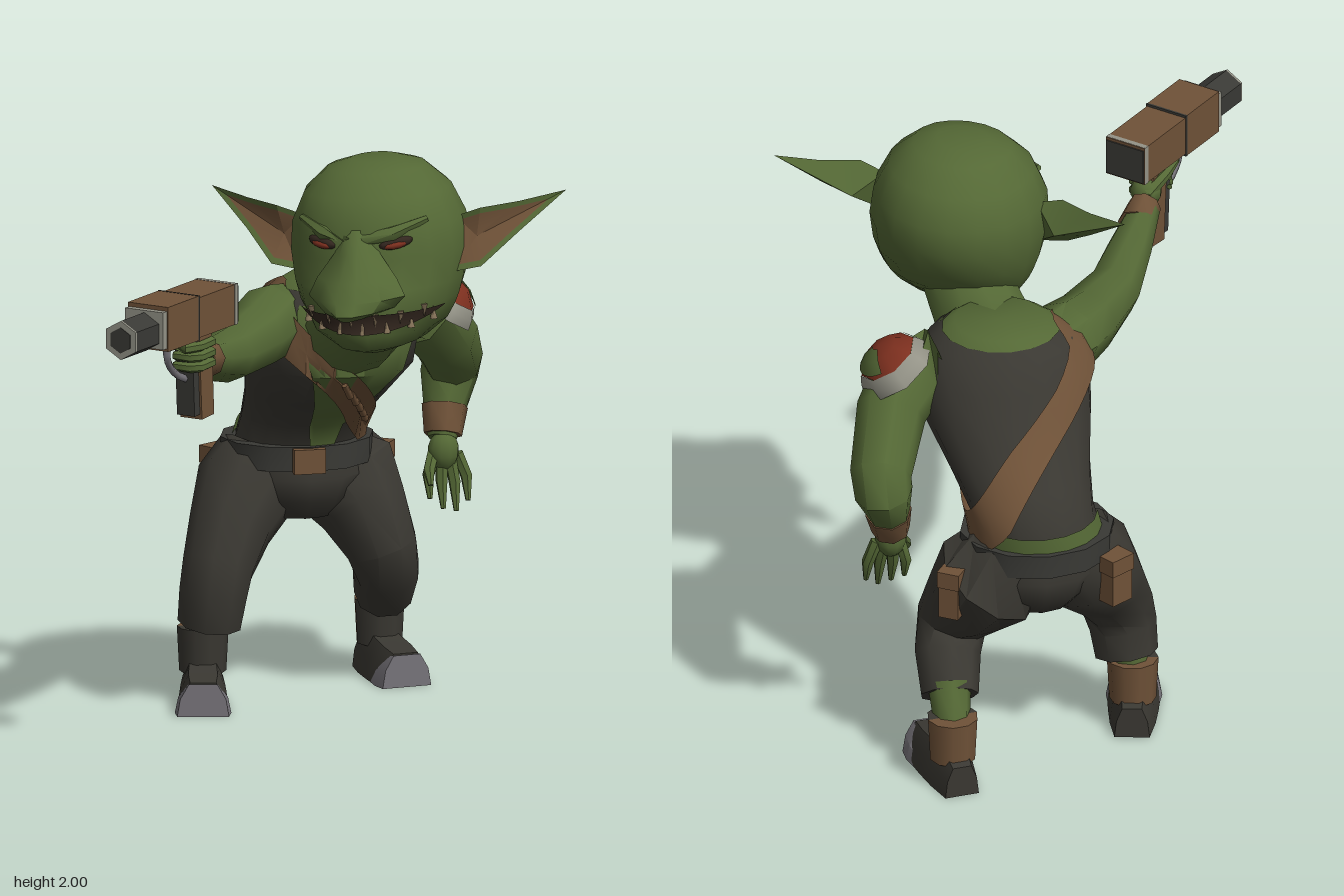
import * as THREE from 'three';
import { toCreasedNormals } from 'three/addons/utils/BufferGeometryUtils.js';

const mat = (name, color, side = THREE.FrontSide) => {
  const m = new THREE.MeshStandardMaterial({ color, side });
  m.name = name;
  return m;
};
const V = (x, y, z) => new THREE.Vector3(x, y, z);

export function createModel() {
  const skin = mat('green skin', 0x546835, THREE.DoubleSide);
  const cloth = mat('dark cloth', 0x3a3832);
  const leather = mat('brown leather', 0x6f5238, THREE.DoubleSide);
  const metal = mat('pale metal', 0x949387);
  const gunmetal = mat('gunmetal', 0x393935);
  const red = mat('red', 0x7e301f);
  const toeCap = mat('toe cap grey', 0x77747a);
  const dark = mat('mouth dark', 0x33271f, THREE.DoubleSide);
  const bone = mat('bone', 0x8a775c);

  const model = new THREE.Group();
  const add = (name, geo, material, parent = model) => {
    const mesh = new THREE.Mesh(geo, material);
    mesh.name = name;
    parent.add(mesh);
    return mesh;
  };
  const group = (name, parent = model) => {
    const g = new THREE.Group();
    g.name = name;
    parent.add(g);
    return g;
  };

  // Skin a list of point rows; the column direction crossed with the row direction faces out
  const skinRows = (rows, closed = true, crease = 0.9) => {
    const n = rows[0].length, index = [];
    for (let i = 0; i < rows.length - 1; i++)
      for (let j = 0; j < (closed ? n : n - 1); j++) {
        const k = (j + 1) % n, a = i * n + j, b = i * n + k;
        index.push(a, b, a + n, b, b + n, a + n);
      }
    const g = new THREE.BufferGeometry().setFromPoints(rows.flat());
    g.setIndex(index);
    return toCreasedNormals(g, crease);
  };
  const cap = (rows) => {
    const point = (row) => {
      const c = row.reduce((s, p) => s.add(p), V(0, 0, 0)).divideScalar(row.length);
      return row.map(() => c.clone());
    };
    return [point(rows[0]), ...rows, point(rows[rows.length - 1])];
  };
  // Limb through [x, y, z, radius] stations
  const limb = (st, sides = 8) => {
    const p = st.map((s) => V(s[0], s[1], s[2]));
    const rows = p.map((c, i) => {
      const t = p[Math.min(i + 1, p.length - 1)].clone().sub(p[Math.max(i - 1, 0)]).normalize();
      const u = (Math.abs(t.x) > 0.9 ? V(0, 0, 1) : V(1, 0, 0)).cross(t).normalize();
      const v = t.clone().cross(u);
      return Array.from({ length: sides }, (_, j) => {
        const a = (j / sides) * Math.PI * 2;
        return c.clone().addScaledVector(u, Math.cos(a) * st[i][3]).addScaledVector(v, Math.sin(a) * st[i][3]);
      });
    });
    return skinRows(cap(rows));
  };
  // Linear lookup in a table sorted from high to low first value
  const lookup = (table, y) => {
    let i = 0;
    while (i < table.length - 2 && y < table[i + 1][0]) i++;
    const a = table[i], b = table[i + 1];
    const t = THREE.MathUtils.clamp((a[0] - y) / (a[0] - b[0]), 0, 1);
    return a.map((v, k) => v + (b[k] - v) * t);
  };
  const around = (n, f) => Array.from({ length: n }, (_, j) => f((j / n) * Math.PI * 2));
  const box = (name, size, pos, material, parent) => {
    const m = add(name, new THREE.BoxGeometry(...size), material, parent);
    m.position.set(...pos);
    return m;
  };
  const blob = (name, size, pos, material, parent) => {
    const m = add(name, new THREE.SphereGeometry(1, 10, 7), material, parent);
    m.scale.set(...size);
    m.position.set(...pos);
    return m;
  };

  // Torso, leaning forward: [y, centre x, centre z, half width, half depth]
  const torso = [[1.5, 0.18, -0.36, 0.16, 0.16], [1.45, 0.18, -0.36, 0.25, 0.22], [1.35, 0.18, -0.38, 0.3, 0.26],
    [1.2, 0.17, -0.42, 0.29, 0.3], [1.06, 0.15, -0.56, 0.24, 0.26], [0.95, 0.13, -0.68, 0.21, 0.21], [0.83, 0.11, -0.7, 0.22, 0.19]];
  const torsoAt = (y, a, off = 0) => {
    const [, cx, cz, w, d] = lookup(torso, y);
    return V(cx + (w + off) * Math.cos(a), y, cz + (d + off) * Math.sin(a));
  };
  add('vest', skinRows(cap(torso.map((r) => around(16, (a) => torsoAt(r[0], a))))), cloth);
  const chest = [1.48, 1.42, 1.35, 1.27, 1.2, 1.13, 1.06, 1, 0.95, 0.88].map((y) =>
    Array.from({ length: 9 }, (_, j) => torsoAt(y, Math.PI / 2 - 0.2 + (j / 4 - 1) * (0.2 + (y - 0.88) * 1.25), 0.009)));
  add('bare chest', skinRows(chest, false), skin);
  const collar = [[1.506, -0.16], [1.506, 0], [1.48, 0.007]].map(([y, off]) => around(16, (a) => torsoAt(y, a, off)));
  add('bare shoulders', skinRows(collar), skin);
  const waist = [0.935, 0.86].map((y) => Array.from({ length: 9 }, (_, j) => torsoAt(y, Math.PI * (1.05 + j * 0.1125), 0.008)));
  add('bare waist', skinRows(waist, false), skin);
  const strapY = (a) => 1.16 - 0.27 * Math.cos(a);
  add('bandolier', skinRows([0.075, 0, -0.075].map((d) => around(40, (a) => torsoAt(strapY(a) + d, a, 0.018)))), leather);
  for (let i = 0; i < 5; i++) {
    const a = 1.5 - i * 0.13;
    const round = add('cartridge', new THREE.CylinderGeometry(0.011, 0.013, 0.08, 6), leather);
    round.position.copy(torsoAt(strapY(a), a, 0.026));
    round.rotation.set(0.75, 0, 0.4);
  }
  add('neck', limb([[0.18, 1.31, -0.38, 0.18], [0.19, 1.34, -0.24, 0.175], [0.21, 1.4, -0.1, 0.16], [0.25, 1.52, 0.04, 0.15]], 12), skin);

  // Head, turned to its right: [y, half width, back, front]
  const head = group('head');
  head.position.set(0.25, 1.7, 0.05);
  head.rotation.set(0, -0.48, 0.05);
  const skull = [[0.3, 0.09, -0.1, 0.07], [0.275, 0.17, -0.18, 0.15], [0.2, 0.25, -0.27, 0.235], [0.1, 0.295, -0.32, 0.295],
    [0, 0.305, -0.315, 0.29], [-0.1, 0.29, -0.28, 0.33], [-0.165, 0.27, -0.22, 0.36], [-0.2, 0.255, -0.19, 0.34], [-0.25, 0.225, -0.13, 0.355],
    [-0.31, 0.15, -0.05, 0.29], [-0.34, 0.07, 0.01, 0.18]];
  const headAt = (y, a, off = 0) => {
    const [, w, b, f] = lookup(skull, y), s = Math.sin(a);
    return V((w + off) * Math.cos(a), y, s > 0 ? (f + off) * s : (off - b) * s);
  };
  add('skull', skinRows(cap(skull.map((r) => around(18, (a) => headAt(r[0], a)))), true, 1.3), skin, head);
  // Wedge-shaped nose spreading into the cheeks: [y, z, half width, half depth]
  const nose = [[0.11, 0.25, 0.05, 0.04], [0.03, 0.28, 0.08, 0.075], [-0.05, 0.3, 0.14, 0.12], [-0.11, 0.31, 0.17, 0.155], [-0.15, 0.31, 0.13, 0.185], [-0.17, 0.33, 0.07, 0.14]];
  add('nose', skinRows(cap(nose.map(([y, z, w, d]) => around(10, (a) => {
    const s = Math.sin(a);
    return V(w * Math.cos(a) * (1 - 0.35 * Math.abs(s)), y, z + d * s * (s > 0 ? 1 : 0.5));
  }))), true, 1), skin, head);
  const mouthA = (t) => Math.PI / 2 - 0.1 + t * 1.1;
  const mouth = [1, 0, -1].map((r) => Array.from({ length: 21 }, (_, j) => {
    const t = j / 10 - 1;
    return headAt(-0.205 + 0.03 * t * t + r * 0.033 * (1.05 - t * t), mouthA(t), 0.009);
  }));
  add('mouth', skinRows(mouth, false), dark, head);
  for (let i = 0; i < 13; i++) {
    const t = (i - 6) / 7, up = i % 2;
    const tooth = add('tooth', new THREE.ConeGeometry(0.014, 0.045, 4), bone, head);
    tooth.position.copy(headAt(-0.205 + 0.03 * t * t + (up ? 0.012 : -0.012), mouthA(t), 0.007));
    if (up) tooth.rotation.x = Math.PI;
  }
  for (const s of [-1, 1]) {
    blob('eye socket', [0.06, 0.022, 0.02], [s * 0.13, 0.062, 0.254], dark, head).rotation.set(0, s * 0.45, s * 0.15);
    blob('eye', [0.042, 0.014, 0.018], [s * 0.13, 0.056, 0.262], red, head).rotation.set(0, s * 0.45, s * 0.15);
    add('brow', limb([[s * 0.02, 0.075, 0.285, 0.022], [s * 0.12, 0.095, 0.26, 0.026], [s * 0.22, 0.13, 0.175, 0.012]], 6), skin, head);
    // Pointed ear: green rim and back around a brown hollow
    const rim = [[0.27, 0.1, 0], [0.36, 0.13, 0], [0.48, 0.14, -0.07], [0.625, 0.165, -0.14], [0.48, 0.04, -0.04], [0.37, -0.06, 0.06], [0.27, -0.08, 0.06]]
      .map(([x, y, z]) => V(s * x, y, z));
    const hub = V(s * 0.34, 0.03, -0.01);
    const inner = rim.map((p) => p.clone().lerp(hub, 0.2));
    const middle = rim.map(() => hub);
    add('ear back', skinRows([rim, rim.map(() => V(s * 0.36, 0.03, -0.08))], true, 0.5), skin, head);
    add('ear rim', skinRows([rim, inner], true, 0.5), skin, head);
    add('ear hollow', skinRows([inner, middle], true, 0.5), leather, head);
  }

  // Lowered left arm
  const leftArm = group('left arm');
  add('arm', limb([[0.4, 1.39, -0.38, 0.11], [0.49, 1.36, -0.39, 0.135], [0.58, 1.25, -0.48, 0.12], [0.65, 1.12, -0.67, 0.105],
    [0.645, 1.06, -0.7, 0.1], [0.62, 0.96, -0.65, 0.075], [0.6, 0.86, -0.6, 0.05]]), skin, leftArm);
  add('bracer', limb([[0.62, 0.96, -0.65, 0.08], [0.605, 0.87, -0.61, 0.066]]), leather, leftArm);
  blob('palm', [0.055, 0.07, 0.05], [0.6, 0.82, -0.58], skin, leftArm);
  [[0.55, 0.66, -0.56], [0.59, 0.63, -0.53], [0.635, 0.62, -0.53], [0.68, 0.65, -0.55], [0.54, 0.72, -0.5]].forEach(([x, y, z]) =>
    add('finger', limb([[0.6 + (x - 0.6) * 0.6, 0.81, -0.58, 0.022], [x, (y + 0.81) / 2, z - 0.03, 0.021], [x, y, z, 0.009]], 6), skin, leftArm));
  // Shoulder pad in bands
  const pad = group('shoulder pad');
  pad.position.set(0.53, 1.35, -0.41);
  pad.rotation.set(0.12, 0, -0.6);
  pad.scale.set(0.14, 0.14, 0.175);
  const band = (name, r, p0, pl, t0, tl, m) => add(name, new THREE.SphereGeometry(r, 8, 2, p0, pl, t0, tl), m, pad);
  band('pad centre', 1, 0, Math.PI * 2, 0, 0.9, red);
  band('pad rim', 1.02, 0, Math.PI * 2, 0.9, 0.48, metal);
  band('pad patch', 1.03, 2.6, 1.7, 0.15, 0.65, skin);

  // Outstretched right arm
  const rightArm = group('right arm');
  add('arm', limb([[0.06, 1.36, -0.36, 0.12], [-0.06, 1.37, -0.28, 0.13], [-0.15, 1.35, -0.15, 0.115], [-0.28, 1.34, 0.06, 0.095],
    [-0.38, 1.38, 0.28, 0.075], [-0.47, 1.43, 0.47, 0.05]]), skin, rightArm);
  add('bracer', limb([[-0.42, 1.405, 0.38, 0.066], [-0.465, 1.43, 0.47, 0.056]]), leather, rightArm);
  blob('palm', [0.055, 0.055, 0.06], [-0.48, 1.455, 0.53], skin, rightArm);

  // Pistol and the fingers around its grip
  const gun = group('pistol');
  gun.position.set(-0.562, 1.62, 0.628);
  gun.rotation.y = -0.75;
  box('gun body', [0.155, 0.14, 0.26], [0, 0.002, -0.118], leather, gun);
  box('gun fore body', [0.16, 0.155, 0.2], [0, 0.002, 0.115], leather, gun);
  box('front plate', [0.15, 0.13, 0.03], [0, 0, 0.225], metal, gun);
  box('rear trim', [0.157, 0.142, 0.02], [0, 0.002, -0.235], metal, gun);
  box('rear plate', [0.15, 0.125, 0.006], [0, 0, -0.25], gunmetal, gun);
  box('seam', [0.162, 0.157, 0.008], [0, 0.002, 0.012], gunmetal, gun);
  const barrel = (name, r, len, z, m) => {
    const b = add(name, toCreasedNormals(new THREE.CylinderGeometry(r, r, len, 6), 0.3), m, gun);
    b.rotation.x = Math.PI / 2;
    b.position.set(0, -0.01, z);
  };
  barrel('barrel', 0.068, 0.16, 0.305, gunmetal);
  barrel('muzzle ring', 0.068, 0.008, 0.389, metal);
  barrel('bore', 0.045, 0.008, 0.392, gunmetal);
  box('grip', [0.085, 0.31, 0.08], [0, -0.215, -0.1], leather, gun).rotation.x = 0.06;
  box('grip front', [0.07, 0.29, 0.04], [0, -0.21, -0.045], gunmetal, gun).rotation.x = 0.06;
  const guard = new THREE.CatmullRomCurve3([V(0, -0.06, 0.09), V(0, -0.14, 0.085), V(0, -0.2, 0.03), V(0, -0.23, -0.04)]);
  add('trigger guard', new THREE.TubeGeometry(guard, 8, 0.013, 5), toeCap, gun);
  for (let i = 0; i < 3; i++) {
    const y = -0.11 - i * 0.036, z = i ? -0.015 : 0.02;
    add('finger', limb([[0.045, y, -0.13, 0.018], [0.052, y, -0.04, 0.018], [0.03, y, z, 0.018], [-0.03, y, z, 0.016], [-0.045, y, -0.04, 0.01]], 6), skin, gun);
  }
  add('thumb', limb([[-0.03, -0.16, -0.16, 0.025], [-0.055, -0.11, -0.08, 0.02], [-0.055, -0.09, -0.01, 0.01]], 6), skin, gun);

  // Hips, belt and pouches
  const hips = [[0.86, 0.23, 0.19], [0.76, 0.24, 0.22], [0.68, 0.19, 0.2], [0.61, 0.13, 0.13]];
  add('hips', skinRows(cap(hips.map(([y, w, d]) => around(12, (a) => V(0.12 + w * Math.cos(a), y, -0.69 + d * Math.sin(a)))))), cloth);
  const belt = add('belt', toCreasedNormals(new THREE.CylinderGeometry(1, 1, 0.085, 12), 0.8), gunmetal);
  belt.scale.set(0.265, 1, 0.23);
  belt.position.set(0.115, 0.838, -0.69);
  box('buckle', [0.11, 0.085, 0.03], [0.11, 0.835, -0.455], leather);
  const pouch = (x, y, z, turn) => {
    const g = group('pouch');
    g.position.set(x, y, z);
    g.rotation.y = turn;
    box('pouch bag', [0.09, 0.17, 0.07], [0, 0, 0], leather, g);
    box('pouch flap', [0.1, 0.06, 0.08], [0, 0.06, 0], leather, g);
  };
  pouch(0.425, 0.72, -0.81, 1);
  pouch(-0.13, 0.73, -0.83, 0.6);

  // Legs: trouser stations, then boot position and turn
  const bootRows = (sections) => cap(sections.map(([z, w, h]) =>
    [[-w, 0], [w, 0], [w * 0.88, h * 0.55], [w * 0.55, h], [-w * 0.55, h], [-w * 0.88, h * 0.55]].map(([x, y]) => V(x, y, z))));
  const leg = (name, trousers, x, z, turn) => {
    const g = group(name);
    add('trouser leg', limb(trousers, 9), cloth, g);
    const end = trousers[trousers.length - 1];
    add('ankle', limb([[end[0], end[1] + 0.05, end[2], 0.075], [x, 0.2, z, 0.06]]), skin, g);
    const boot = group('boot', g);
    boot.position.set(x, 0, z);
    boot.rotation.y = turn;
    add('foot', skinRows(bootRows([[-0.1, 0.06, 0.11], [0, 0.078, 0.15], [0.09, 0.086, 0.135], [0.17, 0.09, 0.125], [0.25, 0.08, 0.115]]), true, 0.5), cloth, boot);
    add('toe cap', skinRows(bootRows([[0.14, 0.088, 0.06], [0.2, 0.096, 0.1], [0.262, 0.088, 0.112]]), true, 0.5), toeCap, boot);
    [['shaft front', -Math.PI / 2, cloth], ['shaft back', Math.PI / 2, leather]].forEach(([n, start, m]) => {
      add(n, new THREE.CylinderGeometry(0.088, 0.08, 0.155, 5, 1, false, start, Math.PI), m, boot).position.y = 0.18;
    });
  };
  leg('left leg', [[0.22, 0.8, -0.73, 0.16], [0.29, 0.72, -0.735, 0.195], [0.345, 0.61, -0.665, 0.155], [0.395, 0.49, -0.6, 0.125],
    [0.42, 0.4, -0.66, 0.115], [0.43, 0.29, -0.76, 0.1]], 0.435, -0.85, 0.16);
  leg('right leg', [[0.0, 0.8, -0.7, 0.16], [-0.06, 0.71, -0.67, 0.18], [-0.135, 0.59, -0.59, 0.145], [-0.19, 0.47, -0.52, 0.125],
    [-0.21, 0.38, -0.51, 0.118], [-0.22, 0.27, -0.53, 0.11]], -0.24, -0.55, -0.2);

  return model;
}
